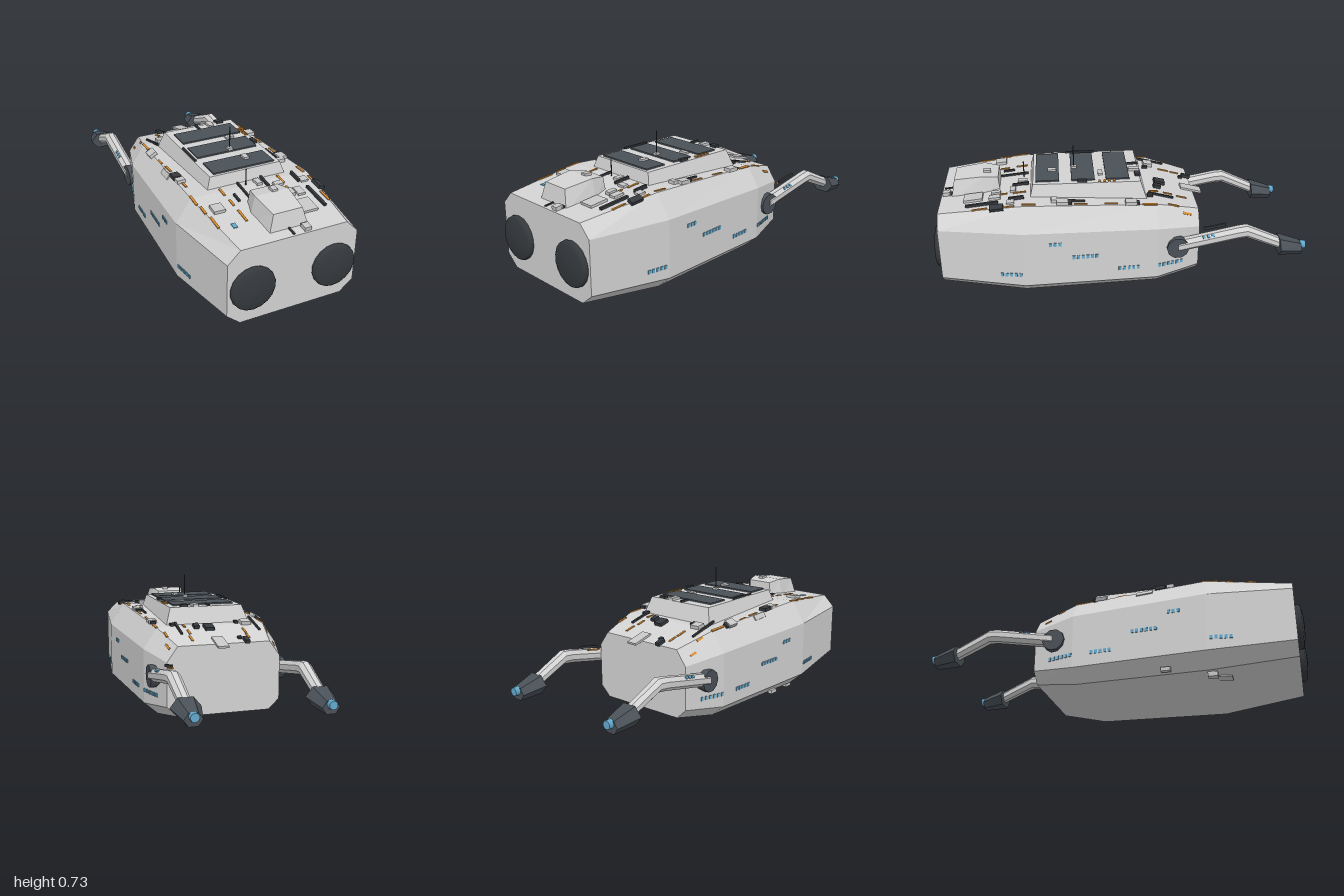
import * as THREE from 'three';

const mat = (name, color) => {
  const m = new THREE.MeshStandardMaterial({ color });
  m.name = name;
  return m;
};

// Hull stations: z, half width, top half width, bottom half width, four heights
const STATIONS = [
  [0.96, 0.35, 0.285, 0.28, 0.075, 0.135, 0.42, 0.485],
  [0.52, 0.412, 0.33, 0.33, 0.027, 0.1, 0.412, 0.533],
  [-0.19, 0.375, 0.30, 0.30, 0.03, 0.095, 0.39, 0.5],
  [-0.42, 0.308, 0.25, 0.25, 0.07, 0.125, 0.36, 0.44],
];

function station(z) {
  let i = 0;
  while (i < STATIONS.length - 2 && z < STATIONS[i + 1][0]) i++;
  const a = STATIONS[i], b = STATIONS[i + 1];
  const t = (z - a[0]) / (b[0] - a[0]);
  return a.map((v, k) => v + (b[k] - v) * t);
}

// Height of the upper hull surface
function hullTop(x, z) {
  const s = station(z), ax = Math.abs(x);
  return ax <= s[2] ? s[7] : s[7] + (s[6] - s[7]) * (ax - s[2]) / (s[1] - s[2]);
}

// Flat-shaded skin over rings ordered front to back, each counterclockwise from the front
function loft(rings) {
  const p = [], n = rings[0].length;
  const tri = (...v) => v.forEach((q) => p.push(...q));
  for (let r = 0; r < rings.length - 1; r++) {
    for (let i = 0; i < n; i++) {
      const j = (i + 1) % n, f = rings[r], k = rings[r + 1];
      tri(f[i], k[i], k[j]);
      tri(f[i], k[j], f[j]);
    }
  }
  const a = rings[0], b = rings[rings.length - 1];
  for (let i = 1; i < n - 1; i++) {
    tri(a[0], a[i], a[i + 1]);
    tri(b[0], b[i + 1], b[i]);
  }
  const g = new THREE.BufferGeometry();
  g.setAttribute('position', new THREE.Float32BufferAttribute(p, 3));
  g.computeVertexNormals();
  return g;
}

const ring = (n, x, y, z, rx, ry, turn = 0) => Array.from({ length: n }, (_, i) => {
  const a = (i / n) * Math.PI * 2 + turn;
  return [x + Math.cos(a) * rx, y + Math.sin(a) * ry, z];
});

export function createModel() {
  const model = new THREE.Group();
  const light = mat('hull grey', 0xd2d2d2);
  const plate = mat('plate grey', 0xc6c6c6);
  const dark = mat('dark slate', 0x495057);
  const black = mat('charcoal', 0x35393d);
  const blue = mat('window blue', 0x62a8cc);
  const orange = mat('marking orange', 0xd88c30);

  const add = (name, geo, m, x = 0, y = 0, z = 0) => {
    const mesh = new THREE.Mesh(geo, m);
    mesh.name = name;
    mesh.position.set(x, y, z);
    model.add(mesh);
    return mesh;
  };
  const box = (name, m, w, h, d, x, y, z) => add(name, new THREE.BoxGeometry(w, h, d), m, x, y, z);
  // Box lying on the hull, turned to its slope
  const up = new THREE.Vector3(0, 1, 0);
  const onHull = (name, m, x, z, w, d, h) => {
    const e = 0.004;
    const n = new THREE.Vector3(
      (hullTop(x - e, z) - hullTop(x + e, z)) / (2 * e), 1,
      (hullTop(x, z - e) - hullTop(x, z + e)) / (2 * e)).normalize();
    const b = box(name, m, w, h, d, x, hullTop(x, z), z);
    b.quaternion.setFromUnitVectors(up, n);
    b.position.addScaledVector(n, h / 2 - 0.002);
    return b;
  };

  // Main hull
  add('hull', loft(STATIONS.map(([z, w, t, b, y0, y1, y2, y3]) => [
    [b, y0, z], [w, y1, z], [w, y2, z], [t, y3, z],
    [-t, y3, z], [-w, y2, z], [-w, y1, z], [-b, y0, z]])), light);

  // Raised deck with dark panels
  const quad = (b, yb, zb, t, yt, zt) => [[b, yb, zb], [t, yt, zt], [-t, yt, zt], [-b, yb, zb]];
  add('upperDeck', loft([
    quad(0.23, 0.5, 0.485, 0.2, 0.592, 0.462),
    quad(0.248, 0.46, -0.155, 0.205, 0.592, -0.11)]), light);
  for (const z of [0.01, 0.195, 0.385]) box('deckPanel', dark, 0.345, 0.01, 0.125, 0, 0.595, z);

  // Bridge
  add('bridge', loft([
    quad(0.108, 0.47, 0.905, 0.078, 0.578, 0.885),
    quad(0.118, 0.47, 0.73, 0.092, 0.597, 0.73),
    quad(0.09, 0.47, 0.64, 0.075, 0.585, 0.65)]), light);
  box('bridgeHatch', plate, 0.03, 0.015, 0.04, 0.02, 0.6, 0.71);

  // Masts
  add('tallMast', new THREE.CylinderGeometry(0.003, 0.003, 0.14, 6), black, 0.022, 0.66, 0.24);
  box('mastFoot', plate, 0.025, 0.02, 0.03, 0.022, 0.602, 0.24);
  add('shortMast', new THREE.CylinderGeometry(0.003, 0.003, 0.1, 6), black, -0.025, 0.575, 0.515);

  // Paired front domes
  const dome = new THREE.LatheGeometry([
    [0.116, 0], [0.118, 0.008], [0.116, 0.02], [0.105, 0.028], [0.06, 0.036], [0, 0.04],
  ].map(([x, y]) => new THREE.Vector2(x, y)), 18);
  dome.rotateX(Math.PI / 2);

  const windowRuns = [[0.34, 0.38, 3], [0.256, 0.26, 6], [0.168, 0.64, 5], [0.168, 0.015, 5], [0.168, -0.2, 6]];
  for (const s of [1, -1]) {
    add('frontDome', dome, black, s * 0.22, 0.263, 0.96);

    // Side windows
    for (const [y, z0, n] of windowRuns) {
      for (let i = 0; i < n; i++) {
        const z = z0 - i * 0.0245;
        const slope = (station(z + 0.002)[1] - station(z - 0.002)[1]) / 0.004;
        const w = box('sideWindow', blue, 0.006, 0.02, 0.015, s * (station(z)[1] + 0.001), y, z);
        w.rotation.y = s * Math.atan(slope);
      }
    }

    // Rear arm: pivot, bent tube, nozzle and tip
    add('armPivot', new THREE.CylinderGeometry(0.06, 0.06, 0.08, 10).rotateZ(Math.PI / 2),
      dark, s * 0.335, 0.267, -0.297);
    const path = [
      [0.347, 0.272, -0.3, 0.036], [0.343, 0.335, -0.62, 0.037],
      [0.34, 0.34, -0.67, 0.037], [0.335, 0.25, -0.87, 0.033]];
    add('arm', loft(path.map(([x, y, z, r]) => ring(8, s * x, y, z, r, r, Math.PI / 8))), light);
    add('nozzle', loft([
      ring(6, s * 0.335, 0.247, -0.85, 0.076, 0.054),
      ring(6, s * 0.335, 0.222, -0.975, 0.046, 0.037)]), dark);
    add('nozzleTip', new THREE.CylinderGeometry(0.022, 0.024, 0.03, 10).rotateX(-Math.PI / 2),
      blue, s * 0.335, 0.238, -0.985);
    for (let i = 0; i < 3; i++) {
      const w = box('armWindow', blue, 0.014, 0.006, 0.015, s * 0.37, 0.327 + i * 0.004, -0.435 - i * 0.024);
      w.rotation.z = -s * 0.8;
    }
  }
  box('armStrip', black, 0.012, 0.014, 0.12, 0.32, 0.362, -0.5).rotation.x = 0.18;
  box('armMarking', orange, 0.01, 0.008, 0.08, 0.304, 0.345, -0.48).rotation.x = 0.18;

  // Broken orange lines: x, start z, end z
  [[-0.155, -0.37, -0.32], [-0.16, -0.31, -0.25], [-0.3, -0.37, -0.33], [-0.285, -0.3, -0.26],
    [-0.3, -0.2, -0.1], [-0.305, 0.04, 0.09], [-0.3, 0.13, 0.2], [-0.3, 0.34, 0.4], [-0.325, 0.5, 0.58],
    [-0.315, 0.6, 0.66], [-0.305, 0.69, 0.78], [-0.165, 0.5, 0.56], [-0.16, 0.6, 0.65], [-0.158, 0.69, 0.78],
    [0.155, -0.37, -0.31], [0.145, -0.29, -0.24], [0.15, -0.21, -0.16], [0.285, -0.38, -0.33],
    [0.275, -0.31, -0.25], [0.3, -0.19, -0.11], [0.295, 0.02, 0.09], [0.3, 0.18, 0.25], [0.165, 0.5, 0.57],
    [0.16, 0.6, 0.64], [0.31, 0.45, 0.52], [0.315, 0.56, 0.64], [0.3, 0.7, 0.78],
  ].forEach(([x, a, b]) => onHull('orangeLine', orange, x, (a + b) / 2, 0.012, b - a, 0.006));
  for (let i = 0; i < 4; i++) box('deckMarking', orange, 0.02, 0.008, 0.012, 0.19, 0.595, 0.03 + i * 0.026);
  onHull('blueMarking', blue, -0.23, 0.79, 0.022, 0.035, 0.006);

  // Light hull boxes: x, z, width, depth, height
  [[0.02, -0.41, 0.06, 0.12, 0.012], [-0.195, -0.19, 0.055, 0.05, 0.02], [-0.305, -0.05, 0.045, 0.06, 0.02],
    [0.295, -0.05, 0.045, 0.06, 0.02], [0.295, 0.31, 0.045, 0.06, 0.02], [-0.305, 0.33, 0.045, 0.04, 0.02],
    [0.27, 0.355, 0.04, 0.03, 0.02], [-0.25, 0.65, 0.06, 0.06, 0.018], [0.195, 0.665, 0.04, 0.06, 0.015],
    [0.165, 0.78, 0.08, 0.1, 0.015], [0.04, 0.52, 0.03, 0.05, 0.015], [0.13, 0.57, 0.05, 0.03, 0.015],
    [0.27, 0.58, 0.04, 0.04, 0.012], [-0.325, 0.19, 0.03, 0.09, 0.008], [0.075, 0.93, 0.036, 0.04, 0.022],
    [0.15, 0.66, 0.03, 0.05, 0.02],
  ].forEach((a) => onHull('hullBox', plate, ...a));

  // Dark hull fittings
  [[-0.125, -0.405, 0.025, 0.05, 0.02], [-0.1, -0.37, 0.02, 0.02, 0.015], [0.025, -0.23, 0.05, 0.06, 0.02],
    [0.09, -0.21, 0.03, 0.04, 0.02], [-0.15, -0.17, 0.02, 0.03, 0.015], [-0.245, -0.2, 0.01, 0.18, 0.012],
    [0.19, -0.22, 0.012, 0.14, 0.012], [0.205, -0.16, 0.03, 0.03, 0.015], [-0.305, 0.275, 0.045, 0.055, 0.02],
    [-0.305, -0.085, 0.03, 0.02, 0.015], [0.295, -0.085, 0.03, 0.02, 0.015], [0.295, 0.275, 0.03, 0.03, 0.015],
    [0.315, 0.65, 0.036, 0.07, 0.018], [0.255, 0.73, 0.015, 0.17, 0.015], [-0.06, 0.58, 0.01, 0.18, 0.012],
    [0.075, 0.53, 0.012, 0.09, 0.015], [0.24, 0.55, 0.012, 0.08, 0.02], [0, 0.925, 0.01, 0.05, 0.008],
    [0.078, 0.905, 0.03, 0.03, 0.012], [-0.12, 0.6, 0.012, 0.06, 0.012], [0.27, 0.25, 0.01, 0.12, 0.012],
  ].forEach((a) => onHull('hullFitting', black, ...a));

  // Fittings on the raised deck
  box('deckBox', plate, 0.03, 0.015, 0.06, 0.06, 0.599, -0.085);
  box('deckBox', plate, 0.028, 0.014, 0.045, 0.05, 0.604, 0.36);
  box('deckBox', plate, 0.05, 0.012, 0.025, 0.09, 0.597, 0.1);
  box('deckFitting', black, 0.04, 0.014, 0.03, 0.125, 0.6, -0.1);
  box('deckFitting', black, 0.02, 0.014, 0.05, 0.185, 0.599, 0.2);
  box('deckFitting', black, 0.01, 0.012, 0.16, -0.195, 0.596, 0.2);
  box('deckFitting', black, 0.01, 0.012, 0.06, -0.015, 0.597, -0.085);

  // Underside fittings
  box('bellyBox', plate, 0.04, 0.025, 0.05, -0.295, 0.0125, 0.53);
  box('bellyPlate', plate, 0.055, 0.008, 0.08, -0.21, 0.028, 0.58).rotation.x = 0.1;
  box('bellyBlock', plate, 0.025, 0.02, 0.05, -0.352, 0.042, 0.3);

  return model;
}
